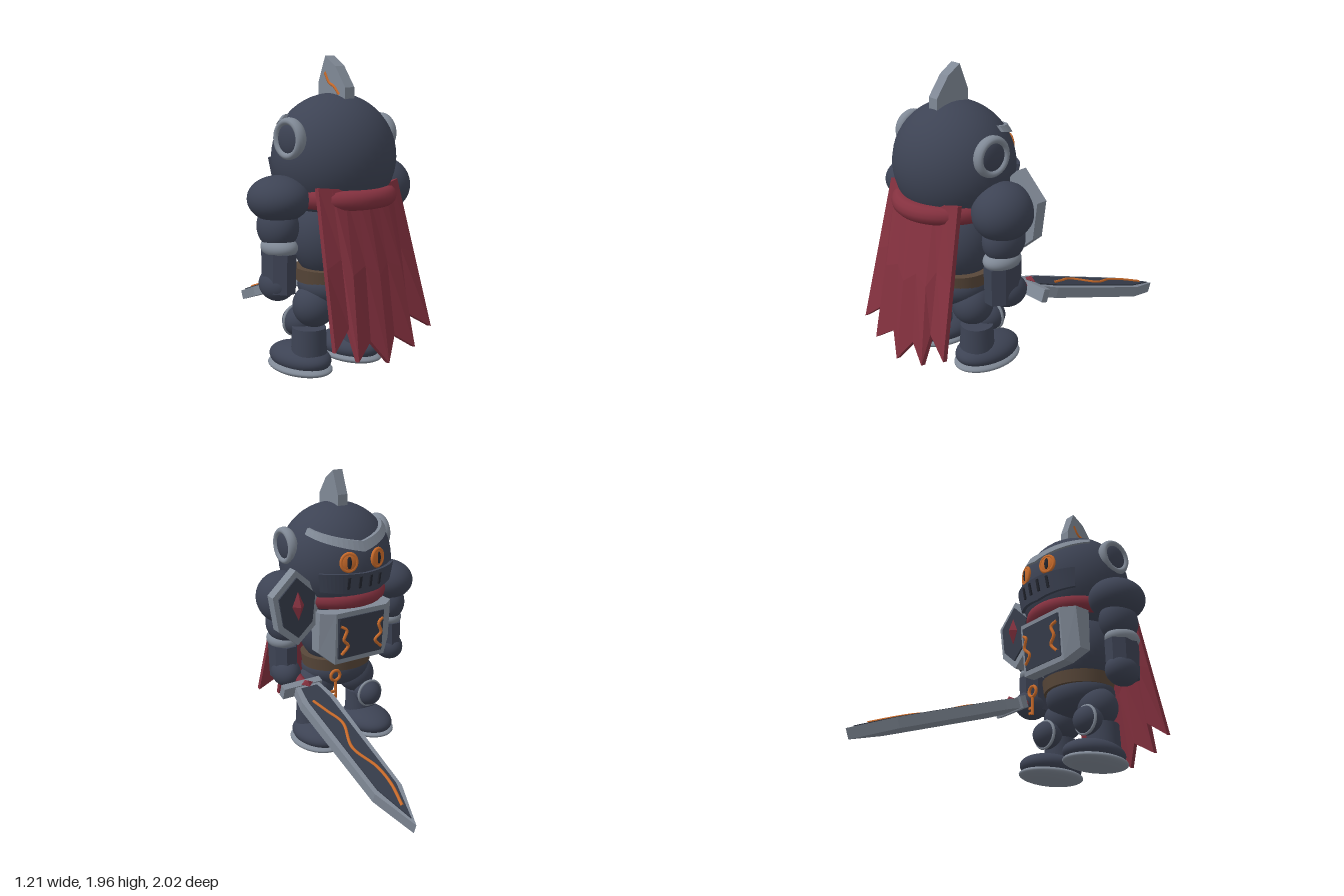
import * as THREE from 'three';

const mat = (name, color) => new THREE.MeshStandardMaterial({ name, color });

export function createModel() {
  const root = new THREE.Group();
  root.name = 'knight';
  const navy = mat('navy armour', 0x3d4354), inlay = mat('dark inlay', 0x363c4a), steel = mat('steel', 0x808996);
  const red = mat('red cloth', 0x84313f), orange = mat('glowing orange', 0xcb6c2b), brown = mat('leather', 0x584739);
  const black = mat('black', 0x23262f);
  const V = (x, y, z) => new THREE.Vector3(x, y, z);

  const add = (name, geo, m, pos = [0, 0, 0], parent = root) => {
    const mesh = new THREE.Mesh(geo, m);
    mesh.name = name;
    mesh.position.set(...pos);
    parent.add(mesh);
    return mesh;
  };
  const ball = (name, m, pos, r, parent) => add(name, new THREE.SphereGeometry(1, 40, 26).scale(...r), m, pos, parent);
  const tube = (name, pts, r, m, parent) =>
    add(name, new THREE.TubeGeometry(new THREE.CatmullRomCurve3(pts), 40, r, 6), m, [0, 0, 0], parent);
  const plate = (pts, depth, bevel = 0) => new THREE.ExtrudeGeometry(
    new THREE.Shape(pts.map(([x, y]) => new THREE.Vector2(x, y))),
    { depth, bevelEnabled: bevel > 0, bevelSize: bevel, bevelThickness: bevel, bevelOffset: -bevel, bevelSegments: 1 });

  // Closed, faceted solid through a row of equal rings
  const loft = (rings) => {
    const n = rings[0].length, tris = [];
    for (let i = 0; i + 1 < rings.length; i++) for (let j = 0; j < n; j++) {
      const a = rings[i][j], b = rings[i][(j + 1) % n], c = rings[i + 1][(j + 1) % n], d = rings[i + 1][j];
      tris.push([a, b, c], [a, c, d]);
    }
    // caps, as strips across the ring
    const first = rings[0], last = rings[rings.length - 1];
    for (let j = 0; j < n / 2 - 1; j++) {
      const k = n - 1 - j;
      tris.push([first[j], first[k], first[k - 1]], [first[j], first[k - 1], first[j + 1]]);
      tris.push([last[j], last[k - 1], last[k]], [last[j], last[j + 1], last[k - 1]]);
    }
    const volume = tris.reduce((s, [a, b, c]) => s + a.dot(b.clone().cross(c)), 0);
    if (volume < 0) tris.forEach((t) => t.reverse());
    const geo = new THREE.BufferGeometry().setFromPoints(tris.flat());
    geo.computeVertexNormals();
    return geo;
  };

  // Helmet
  const H = { y: 1.36, z: 0.495, rx: 0.395, ry: 0.39, rz: 0.37 };
  ball('helmet', navy, [0, H.y, H.z], [H.rx, H.ry, H.rz]);
  const onHead = (a, y, off) => {
    const k = Math.sqrt(Math.max(0, 1 - ((y - H.y) / H.ry) ** 2));
    return V((H.rx * k + off) * Math.sin(a), y, H.z - (H.rz * k + off) * Math.cos(a));
  };
  const headBand = (name, m, span, low, high, off) => {
    const rings = [];
    for (let i = 0; i <= 24; i++) {
      const t = i / 12 - 1, a = t * span, lo = low(Math.abs(t)), hi = high(Math.abs(t));
      rings.push([onHead(a, lo, off), onHead(a, hi, off), onHead(a, hi, -0.03), onHead(a, lo, -0.03)]);
    }
    return add(name, loft(rings), m);
  };
  headBand('brow', steel, 1.15, (t) => 1.48 + 0.11 * t, (t) => 1.545 + 0.08 * t, 0.022);
  headBand('visor', navy, 0.8, (t) => 1.19 + 0.03 * t, (t) => 1.34 + 0.01 * t, 0.022);
  for (const a of [-0.3, -0.1, 0.1, 0.3]) {
    const p = onHead(a, 1.28, 0.02);
    add('visorSlit', new THREE.BoxGeometry(0.018, 0.085, 0.012), black, p.toArray()).rotation.set(-0.2, -a, 0);
  }

  // Crest with a glowing crack on one side
  const crest = plate([[0.64, 1.7], [0.64, 1.785], [0.55, 1.91], [0.46, 1.97], [0.4, 1.81], [0.4, 1.7]], 0.075);
  add('crest', crest.rotateY(-Math.PI / 2), steel, [0.03, 0, 0]);
  tube('crestCrack', [V(-0.045, 1.74, 0.59), V(-0.045, 1.79, 0.54), V(-0.045, 1.81, 0.5), V(-0.045, 1.87, 0.46)], 0.009, orange);

  // Parts repeated on both sides
  for (const s of [-1, 1]) {
    const ear = new THREE.Group();
    ear.name = 'earGuard';
    ear.position.set(s * 0.372, 1.49, 0.52);
    ear.rotation.set(0, s * Math.PI / 2, 0);
    ear.rotation.z = s * 0.0;
    root.add(ear);
    add('earRing', new THREE.TorusGeometry(0.103, 0.024, 12, 40).scale(1, 1, 1.5), steel, [0, 0, 0], ear);
    ball('earDome', navy, [0, 0, 0], [0.1, 0.1, 0.035], ear);

    const eye = new THREE.Group();
    eye.name = 'eye';
    eye.position.copy(onHead(s * 0.29, 1.42, 0.004));
    eye.rotation.y = -s * 0.29;
    root.add(eye);
    ball('iris', orange, [0, 0, 0], [0.058, 0.064, 0.016], eye);
    add('eyeRim', new THREE.TorusGeometry(0.053, 0.012, 8, 32).scale(1, 1.1, 1), orange, [0, 0, 0], eye);
    ball('pupil', black, [0, 0, -0.012], [0.017, 0.042, 0.009], eye);

    // Arm
    const up = s > 0;
    ball('shoulder', navy, [s * 0.425, up ? 1.15 : 1.135, 0.48], [0.18, up ? 0.18 : 0.14, 0.2]);
    ball('upperArm', navy, [s * 0.43, 0.97, 0.48], [0.115, 0.14, 0.145]);
    ball('elbowBand', steel, [s * 0.435, 0.85, 0.5], [0.1, 0.068, 0.13]);
    const fore = new THREE.CylinderGeometry(0.1, 0.095, 0.24, 8).rotateY(Math.PI / 8).scale(0.92, 1, 1.35).toNonIndexed();
    fore.computeVertexNormals();
    add('forearm', fore, navy, [s * 0.435, 0.7, 0.495]);
    ball('hand', navy, [s * 0.44, 0.62, up ? 0.45 : 0.48], [0.095, 0.1, 0.125]);

    // Leg
    ball('thigh', navy, [s * 0.17, 0.45, 0.515], [0.135, 0.135, 0.135]);
    ball('knee', navy, [s * 0.2, 0.33, 0.395], [0.095, 0.095, 0.105]);
    add('kneeRing', new THREE.TorusGeometry(0.092, 0.011, 8, 32), steel, [s * 0.2, 0.33, 0.37]);
    add('shin', new THREE.CylinderGeometry(0.105, 0.115, 0.24, 24), navy, [s * 0.21, 0.2, 0.515]);
    ball('boot', navy, [s * 0.21, 0.11, 0.43], [0.16, 0.09, 0.235]);
    ball('sole', steel, [s * 0.215, 0.055, 0.435], [0.17, 0.045, 0.242]);

    // Glowing crack on the breastplate
    tube('chestCrack', [V(s * 0.17, 0.98, 0.163), V(s * 0.13, 0.95, 0.15), V(s * 0.15, 0.88, 0.155),
      V(s * 0.11, 0.83, 0.165), V(s * 0.16, 0.77, 0.172)], 0.011, orange);
  }

  // Torso, hips and belt
  ball('torso', navy, [0, 0.88, 0.5], [0.28, 0.3, 0.25]);
  ball('hips', navy, [0, 0.57, 0.52], [0.25, 0.15, 0.22]);
  add('belt', new THREE.CylinderGeometry(0.235, 0.225, 0.085, 40).scale(1.1, 1, 1), brown, [0, 0.64, 0.505]);

  // Breastplate: steel body with a dark face
  const chest = (w, top, bottom, front, back) => loft([-1, -0.7, 0.7, 1].map((t) => {
    const side = Math.abs(t) > 0.9, z = side ? 0.07 : 0, b = side ? bottom + 0.08 : bottom;
    return [V(t * w, top, front + z), V(t * w, b, front + 0.03 + z), V(t * w, b, back + z), V(t * w, top, back + z)];
  }));
  add('breastplate', chest(0.285, 1.07, 0.7, 0.165, 0.28), steel);
  add('breastplateFace', chest(0.25, 1.035, 0.735, 0.157, 0.2), inlay);

  // Scarf around the neck
  add('scarf', new THREE.TorusGeometry(0.315, 0.06, 12, 48).rotateX(Math.PI / 2).scale(0.96, 1, 1), red, [0, 1.135, 0.525]);

  // Ragged cape
  const hem = [[-0.39, 0.3], [-0.25, 0.41], [-0.235, 0.22], [-0.1, 0.31], [0, 0.17], [0.1, 0.31], [0.235, 0.22], [0.245, 0.41], [0.41, 0.31]];
  add('cape', loft(hem.map(([x, y], i) => {
    const t = i / 4 - 1, fold = i % 2 ? -0.02 : 0.015, arch = 1 - t * t;
    const z0 = 0.735 + 0.06 * arch, y0 = 1.2 + 0.02 * t * t, z2 = 0.95 + 0.025 * arch + fold - (y - 0.25) * 0.15;
    const top = V(t * 0.325 - 0.01, y0, z0), low = V(x, y, z2);
    const mid = top.clone().lerp(low, 0.5).add(V(0, 0, 0.02 * arch));
    const inner = (p) => p.clone().add(V(0, -0.005, -0.03));
    return [top, mid, low, inner(low), inner(mid), inner(top)];
  })), red);

  // Shield on the shoulder, facing forward
  const hexagon = [[0, 0.24], [0.175, 0.08], [0.14, -0.16], [0, -0.28], [-0.14, -0.16], [-0.175, 0.08]];
  const shield = new THREE.Group();
  shield.name = 'shield';
  shield.position.set(0.425, 1.14, 0.295);
  root.add(shield);
  add('shieldBody', plate(hexagon, 0.075), steel, [0, 0, 0], shield);
  add('shieldFace', plate(hexagon.map(([x, y]) => [x * 0.78, y * 0.8]), 0.02), inlay, [0, 0, -0.012], shield);
  const gem = new THREE.OctahedronGeometry(1);
  add('shieldGem', gem.clone().scale(0.045, 0.1, 0.04), red, [0, 0, -0.02], shield);

  // Sword: its blade runs along the group's -z
  const sword = new THREE.Group();
  sword.name = 'sword';
  sword.position.set(0.4, 0.58, 0.3);
  sword.rotation.x = -0.35;
  root.add(sword);
  const flat = (pts, d, bevel) => plate(pts, d, bevel).rotateX(-Math.PI / 2);
  const blade = [[-0.09, 0.06], [0.09, 0.06], [0.12, 0.21], [0.1, 1.08], [0, 1.385], [-0.1, 1.08], [-0.12, 0.21]];
  add('blade', flat(blade, 0.07), steel, [0, -0.035, 0], sword);
  add('bladeInlay', flat([[-0.06, 0.09], [0.06, 0.09], [0.08, 0.22], [0.07, 1.06], [0, 1.33], [-0.07, 1.06], [-0.08, 0.22]], 0.009),
    inlay, [0, 0.034, 0], sword);
  tube('bladeCrack', [[0.05, 0.23], [0.01, 0.35], [-0.03, 0.48], [0.03, 0.7], [-0.03, 0.9], [-0.035, 1.05], [0, 1.23]]
    .map(([x, l]) => V(x, 0.044, -l)), 0.011, orange, sword);
  add('guard', new THREE.BoxGeometry(0.29, 0.085, 0.05), steel, [0.03, 0, -0.04], sword);
  add('guardGem', gem.clone().scale(0.045, 0.025, 0.035), red, [0, 0.045, -0.06], sword);
  add('grip', new THREE.CylinderGeometry(0.032, 0.032, 0.2, 12).rotateX(Math.PI / 2), red, [0, 0, 0.06], sword);

  // Key hanging from the belt
  const key = new THREE.Group();
  key.name = 'key';
  key.position.set(0.17, 0.6, 0.24);
  root.add(key);
  add('keyBow', new THREE.TorusGeometry(0.036, 0.011, 8, 24), orange, [0, 0, 0], key);
  add('keyShaft', new THREE.CylinderGeometry(0.01, 0.01, 0.13, 8), orange, [0, -0.1, 0], key);
  for (const y of [-0.115, -0.15]) add('keyTooth', new THREE.BoxGeometry(0.035, 0.016, 0.014), orange, [0.02, y, 0], key);
  return root;
}
